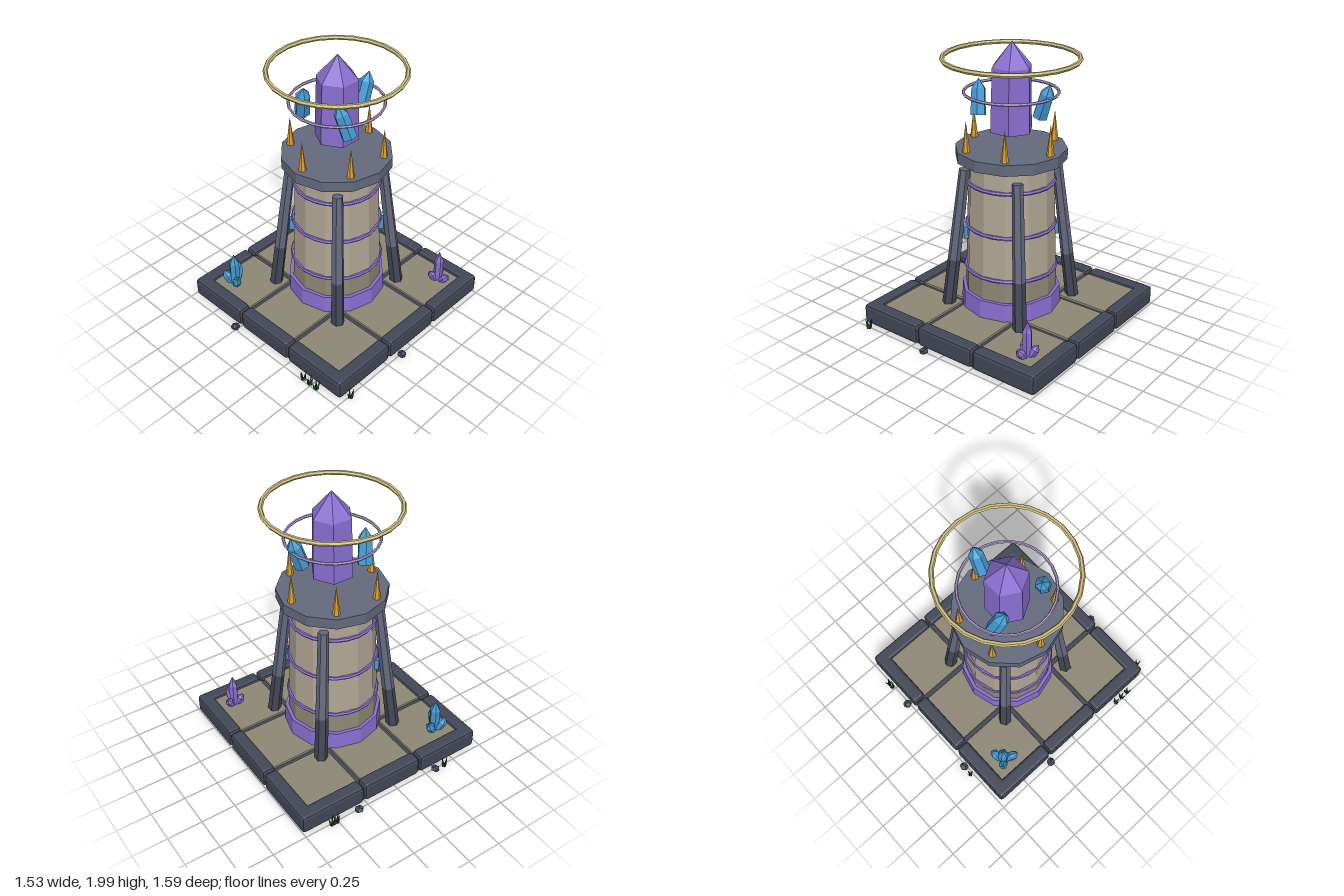
import * as THREE from 'three';
import { RoundedBoxGeometry } from 'three/addons/geometries/RoundedBoxGeometry.js';

const mat = (name, color) => {
  const m = new THREE.MeshStandardMaterial({ color });
  m.name = name;
  return m;
};

export function createModel() {
  const stone = mat('pale stone', 0xb0a694);
  const stoneDark = mat('dark stone', 0x8e8775);
  const slate = mat('slate', 0x646a7e);
  const slateDark = mat('dark slate', 0x434857);
  const purple = mat('purple', 0x8a6fd2);
  const blue = mat('blue crystal', 0x449bd4);
  const gold = mat('gold', 0xdb9f2c);
  const paleGold = mat('pale gold', 0xcdbe7c);
  const lavender = mat('lavender', 0xb29cd2);
  const green = mat('dark grass', 0x1f4020);

  const root = new THREE.Group();
  root.name = 'crystalTower';
  const CX = 0.026; // the tower axis sits slightly off x = 0 because of the scatter
  const tower = new THREE.Group();
  tower.name = 'tower';
  tower.position.x = CX;
  root.add(tower);

  // Adds a faceted mesh
  const add = (name, geo, material, x = 0, y = 0, z = 0, parent = tower) => {
    const g = geo.index ? geo.toNonIndexed() : geo;
    g.computeVertexNormals();
    const m = new THREE.Mesh(g, material);
    m.name = name;
    m.position.set(x, y, z);
    parent.add(m);
    return m;
  };

  // Faceted rod between two points
  const UP = new THREE.Vector3(0, 1, 0);
  const rod = (name, a, b, ra, rb, sides, material, parent = tower) => {
    const dir = b.clone().sub(a);
    const geo = new THREE.CylinderGeometry(rb, ra, dir.length(), sides);
    const c = a.clone().lerp(b, 0.5);
    const m = add(name, geo, material, c.x, c.y, c.z, parent);
    m.quaternion.setFromUnitVectors(UP, dir.normalize());
    return m;
  };

  // Six-sided crystal with a pointed tip
  const crystal = (name, a, b, r, material, shoulder = 0.74, taper = 0.92) => {
    const dir = b.clone().sub(a);
    const len = dir.length();
    const profile = [[0, 0], [r, 0], [r * taper, len * shoulder], [0, len]]
      .map(([px, py]) => new THREE.Vector2(px, py));
    const geo = new THREE.LatheGeometry(profile, 6);
    geo.rotateY(Math.PI / 6);
    const m = add(name, geo, material, a.x, a.y, a.z);
    m.quaternion.setFromUnitVectors(UP, dir.normalize());
    return m;
  };
  const V = (x, y, z) => new THREE.Vector3(x, y, z);

  const ring = (name, R, tube, y, material, segs) => {
    const geo = new THREE.TorusGeometry(R, tube, 6, segs);
    geo.rotateX(Math.PI / 2);
    return add(name, geo, material, 0, y, 0);
  };

  // Foundation slab and 3 x 3 floor tiles
  add('foundation', new THREE.BoxGeometry(1.42, 0.105, 1.42), slateDark, 0, 0.0725, 0);
  const spans = [[-0.64, -0.24], [-0.208, 0.208], [0.24, 0.64]];
  for (const [x0, x1] of spans) for (const [z0, z1] of spans) {
    add('floorTile', new RoundedBoxGeometry(x1 - x0, 0.04, z1 - z0, 1, 0.008), stoneDark,
      (x0 + x1) / 2, 0.122, (z0 + z1) / 2);
  }

  // Border blocks, three per side
  const blocks = [[-0.732, -0.242], [-0.23, 0.23], [0.242, 0.732]];
  for (let s = 0; s < 4; s++) {
    const side = new THREE.Group();
    side.name = 'borderSide';
    side.rotation.y = s * Math.PI / 2;
    tower.add(side);
    for (const [a, b] of blocks) {
      add('borderBlock', new RoundedBoxGeometry(b - a, 0.14, 0.1, 1, 0.022), slateDark,
        (a + b) / 2, 0.09, 0.683, side);
    }
  }

  // Tower body: plinth, two courses of stone, cap
  add('plinth', new THREE.CylinderGeometry(0.345, 0.35, 0.14, 12), purple, 0, 0.2, 0);
  add('lowerWall', new THREE.CylinderGeometry(0.315, 0.325, 0.29, 12), stoneDark, 0, 0.285, 0);
  add('upperWall', new THREE.CylinderGeometry(0.288, 0.315, 0.79, 12), stone, 0, 0.825, 0);
  add('platform', new THREE.CylinderGeometry(0.378, 0.378, 0.075, 12), slate, 0, 1.252, 0);
  ring('lowerBand', 0.314, 0.014, 0.43, purple, 24);
  ring('middleBand', 0.303, 0.014, 0.745, purple, 24);
  ring('upperBand', 0.294, 0.014, 1.058, purple, 24);

  // Leaning buttresses and gem plates on the diagonals
  for (const sx of [-1, 1]) for (const sz of [-1, 1]) {
    const foot = V(sx * 0.312, 0.135, sz * 0.312);
    const head = V(sx * 0.222, 1.14, sz * 0.222);
    const joint = foot.clone().lerp(head, 0.34);
    rod('buttressFoot', foot, joint, 0.048, 0.0445, 6, slateDark);
    rod('buttress', joint, head, 0.0445, 0.037, 6, slate);
    const gem = add('wallGem', new THREE.BoxGeometry(0.045, 0.085, 0.03), blue,
      sx * 0.222, 0.678, sz * 0.222);
    gem.rotation.y = Math.atan2(sx, sz);
  }

  // Crown spikes
  for (let i = 0; i < 6; i++) {
    const a = i * Math.PI / 3;
    add('crownSpike', new THREE.ConeGeometry(0.027, 0.215, 6), gold,
      Math.cos(a) * 0.318, 1.395, Math.sin(a) * 0.318);
  }

  // Floating great crystal, its satellites and halos
  crystal('greatCrystal', V(0, 1.4, 0), V(0.006, 2, 0), 0.149, purple, 0.725, 0.93);
  crystal('floatingCrystal', V(0.232, 1.537, 0), V(0.308, 1.763, 0), 0.053, blue, 0.72);
  for (const s of [-1, 1]) {
    crystal('floatingCrystal', V(-0.106, 1.537, s * 0.212), V(-0.15, 1.763, s * 0.15), 0.053, blue, 0.72);
  }
  ring('upperHalo', 0.447, 0.016, 1.89, paleGold, 24);
  ring('lowerHalo', 0.312, 0.0105, 1.665, lavender, 24);

  // Crystal clusters on the floor
  const cluster = (name, x, z, r, material, h, shoots) => {
    crystal(name, V(x, 0.13, z), V(x, 0.39, z), r, material, 0.7, 1.05);
    for (const [dx, dz] of shoots) {
      crystal(name + 'Shoot', V(x + dx * 0.3, 0.135, z + dz * 0.3), V(x + dx, h, z + dz),
        r * 0.8, material, 0.62, 1.15);
    }
  };
  cluster('blueCluster', -0.525, -0.525, 0.036, blue, 0.25,
    [[-0.055, 0.095], [-0.06, -0.055], [0.085, -0.04]]);
  cluster('purpleCluster', 0.531, 0.527, 0.032, purple, 0.225,
    [[-0.06, -0.035], [0.07, -0.03], [-0.005, 0.1]]);

  // Rocks around the rim
  for (const [x, z, t] of [[-0.325, -0.765, 0.4], [0.335, -0.765, 1.3], [-0.74, -0.26, 2.2], [-0.12, 0.765, 3]]) {
    const rock = add('rock', new THREE.DodecahedronGeometry(0.033), slateDark, x, 0.026, z, root);
    rock.scale.y = 0.65;
    rock.rotation.y = t;
  }

  // Grass tufts: a few leaning blades each
  const tufts = [[-0.4, -0.77], [0.52, -0.765], [0.555, -0.765], [-0.74, 0.43], [-0.74, 0.49],
    [-0.74, 0.55], [-0.635, 0.765]];
  tufts.forEach(([x, z], i) => {
    for (let k = 0; k < 4; k++) {
      const a = i * 1.1 + k * Math.PI / 2;
      const c = Math.cos(a), s = Math.sin(a), h = 0.06 + 0.012 * ((i + k) % 4);
      rod('grassBlade', V(x + c * 0.008, 0.012, z + s * 0.008), V(x + c * 0.024, h, z + s * 0.024),
        0.011, 0.001, 3, green, root);
    }
  });

  return root;
}
